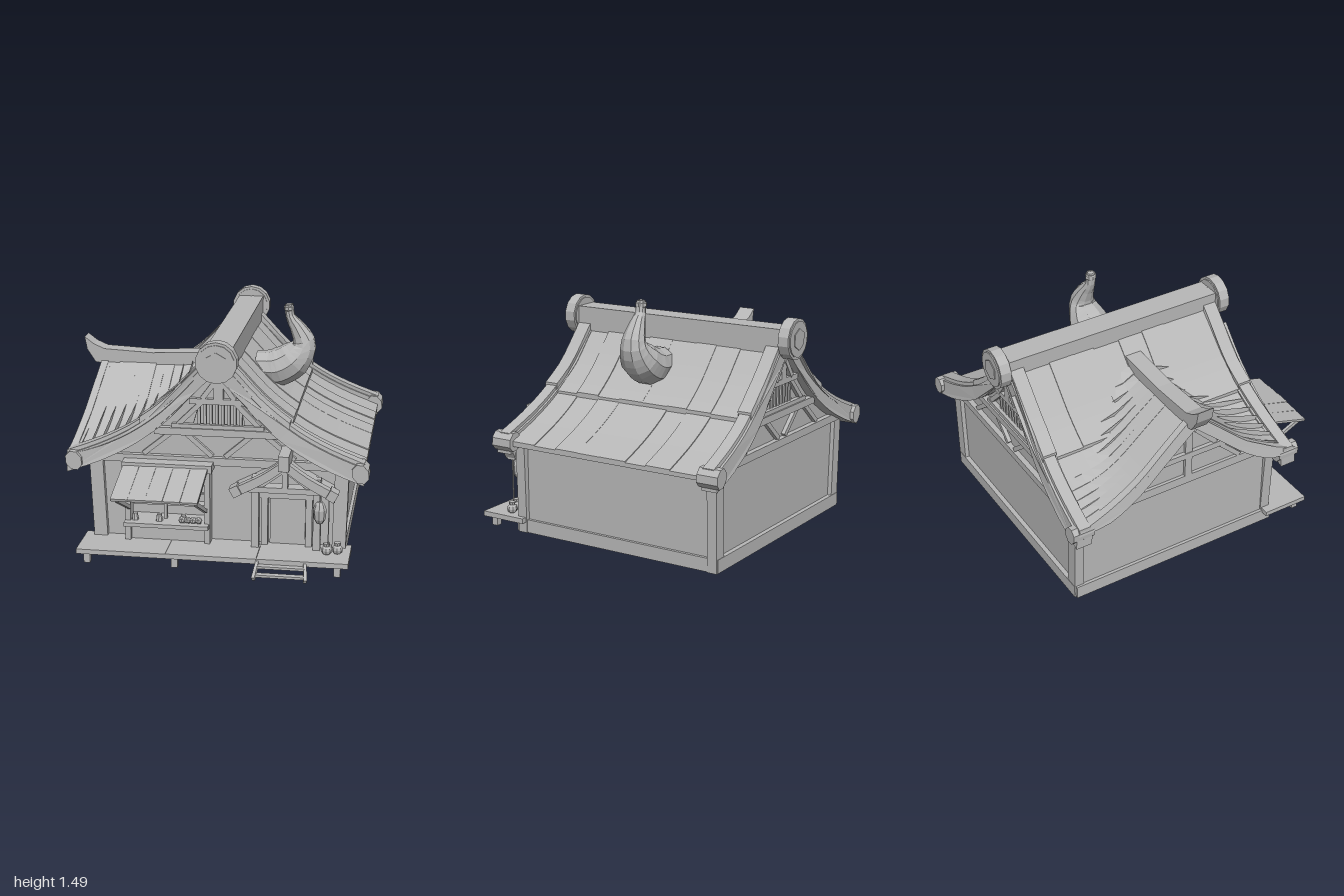
import * as THREE from 'three';

const V = (x, y, z) => new THREE.Vector3(x, y, z);

export function createModel() {
  const root = new THREE.Group();
  const grey = new THREE.MeshStandardMaterial({ color: 0xb8b8b8, flatShading: true, side: THREE.DoubleSide });
  grey.name = 'warm clay grey';

  let seed = 7;
  const rnd = () => ((seed = (seed * 16807) % 2147483647) / 2147483647) - 0.5;

  const add = (name, geo) => {
    const m = new THREE.Mesh(geo, grey);
    m.name = name;
    root.add(m);
    return m;
  };
  // box given by its limits
  const box = (name, x0, x1, y0, y1, z0, z1) => {
    const g = new THREE.BoxGeometry(x1 - x0, y1 - y0, z1 - z0);
    g.translate((x0 + x1) / 2, (y0 + y1) / 2, (z0 + z1) / 2);
    return add(name, g);
  };
  // rectangular beam between two points
  const beam = (name, a, b, w, d) => {
    const dir = b.clone().sub(a);
    const m = add(name, new THREE.BoxGeometry(w, dir.length(), d));
    m.position.copy(a).add(b).multiplyScalar(0.5);
    m.quaternion.setFromUnitVectors(V(0, 1, 0), dir.normalize());
    return m;
  };
  const shapeOf = pts => new THREE.Shape(pts.map(p => new THREE.Vector2(p[0], p[1])));
  const alongZ = (shape, z0, z1) =>
    new THREE.ExtrudeGeometry(shape, { depth: z1 - z0, bevelEnabled: false }).translate(0, 0, z0);
  // shape drawn in (-z, y), extruded along x
  const alongX = (shape, x0, x1) =>
    new THREE.ExtrudeGeometry(shape, { depth: x1 - x0, bevelEnabled: false }).rotateY(Math.PI / 2).translate(x0, 0, 0);

  // curved roof profiles
  const sample = (pts, n = 16) =>
    new THREE.SplineCurve(pts.map(p => new THREE.Vector2(p[0], p[1]))).getPoints(n).map(p => [p.x, p.y]);
  const mainRoof = sample([[0, 1.27], [0.12, 1.15], [0.3, 0.96], [0.5, 0.81], [0.7, 0.705], [0.92, 0.62]]);
  const sideRoof = sample([[0, 1.11], [0.25, 0.96], [0.5, 0.81], [0.75, 0.705], [1, 0.63]], 12);
  const band = (pts, up, down) =>
    shapeOf([...pts.map(p => [p[0], p[1] + up]), ...pts.slice().reverse().map(p => [p[0], p[1] - down])]);
  const mainHeight = x => {
    const d = Math.min(Math.abs(x), 0.919);
    const i = mainRoof.findIndex(p => p[0] > d);
    const [a, b] = [mainRoof[i - 1], mainRoof[i]];
    return a[1] + ((b[1] - a[1]) * (d - a[0])) / (b[0] - a[0]);
  };
  // barge boards lean inward as they rise
  const tuck = (g, d) => {
    const p = g.attributes.position;
    for (let i = 0; i < p.count; i++)
      p.setZ(i, p.getZ(i) - d * 0.045 * THREE.MathUtils.clamp((p.getY(i) - 0.6) / 0.4, 0, 1));
    g.computeVertexNormals();
    return g;
  };

  // main roof: tile layers, barge boards and corner caps; the right slope's lower layer is the cross gable's
  const seams = [-0.9, -0.84, -0.64, -0.47, -0.33, -0.15, 0.02, 0.18, 0.34, 0.56];
  for (const s of [1, -1]) {
    const curve = mainRoof.map(p => [p[0] * s, p[1]]);
    const upper = curve.filter(p => Math.abs(p[0]) < 0.5);
    for (let i = 0; i < seams.length - 1; i++) {
      if (s > 0) add('lowerRoofTile', alongZ(band(curve, rnd() * 0.016, 0.03), seams[i], seams[i + 1]));
      add('upperRoofTile', alongZ(band(upper, 0.026 + rnd() * 0.016, 0.02), seams[i], seams[i + 1]));
    }
    for (const [z0, z1, d] of [[0.52, 0.625, 1], [-0.96, -0.855, -1]]) {
      add('bargeBoard', tuck(alongZ(band(curve, 0.025, 0.085), z0, z1), d));
      add('bargeCap', tuck(alongZ(band(curve, 0.05, -0.01), z0 + 0.015, z1 - 0.015), d));
      add('upperBargeCap', tuck(alongZ(band(upper, 0.065, 0), z0 + 0.01, z1 - 0.005), d));
      const c = add('eaveCap', new THREE.CylinderGeometry(0.064, 0.064, 0.14, 8));
      c.scale.x = 0.82;
      c.rotation.set(Math.PI / 2, Math.PI / 8, 0);
      c.position.set(s * 0.885 + 0.013, 0.615, (z0 + z1) / 2);
    }
  }

  // ridge beam with stepped round end discs
  box('ridgeBeam', -0.06, 0.105, 1.18, 1.34, -0.93, 0.6);
  for (const [z, s] of [[0.615, 1], [-0.95, -1]]) {
    const disc = (name, r, len, sides) => {
      const m = add(name, new THREE.CylinderGeometry(r, r, len, sides));
      m.rotation.x = Math.PI / 2;
      m.position.set(0.022, 1.275, z + s * 0.003);
    };
    disc('ridgeDisc', 0.128, 0.07, 14);
    disc('ridgeDiscFace', 0.112, 0.085, 14);
    disc('ridgeDiscHex', 0.068, 0.096, 6);
  }

  // cross gable on the right side: outer edge leans in, valleys blend into the main slope
  const lean = (g, blend) => {
    const p = g.attributes.position;
    for (let i = 0; i < p.count; i++) {
      const y = p.getY(i), h = Math.max(0, (y - 0.62) / 0.5);
      const x = p.getX(i) * (1 - 0.1 * h), gap = mainHeight(x) - y;
      p.setX(i, x);
      p.setY(i, y + (gap + Math.hypot(gap, blend)) / 2);
    }
    g.computeVertexNormals();
    return g;
  };
  for (const span of [0.71, -0.85]) {
    const curve = sideRoof.map(p => [-(-0.09 + p[0] * span), p[1]]);
    let lift = 0;
    for (let i = 0; i < 12; i++) {
      const x0 = -0.92 + 0.066 * i;
      if (i % 2 === 0) lift = rnd() * 0.016;
      add('sideRoofTile', lean(alongX(band(curve, lift, 0.03), x0, x0 + 0.067), 0.05));
    }
    add('sideBargeBoard', lean(alongX(band(curve, 0.012, 0.08), -0.925, -0.875), 0.03));
  }
  const ridge = shapeOf([[-0.95, 1.23], [-0.89, 1.185], [-0.82, 1.155], [-0.5, 1.14], [-0.1, 1.16],
    [-0.1, 1.06], [-0.8, 1.055], [-0.88, 1.065], [-0.935, 1.15]]);
  add('sideRidge', alongZ(ridge, -0.145, -0.035));

  // curved horn chimney, a little wider than deep
  const hornPath = new THREE.CatmullRomCurve3([V(0.17, 1.06, -0.1), V(0.3, 1.06, -0.1), V(0.41, 1.12, -0.1),
    V(0.475, 1.22, -0.1), V(0.43, 1.33, -0.095), V(0.385, 1.4, -0.09), V(0.375, 1.48, -0.09)]);
  const hornR = [0.1, 0.125, 0.118, 0.078, 0.05, 0.031, 0.028];
  const rings = 18, sides = 10;
  const horn = new THREE.TubeGeometry(hornPath, rings, 1, sides, false);
  const hp = horn.attributes.position;
  for (let i = 0; i <= rings; i++) {
    const c = hornPath.getPointAt(i / rings);
    const t = hornPath.getUtoTmapping(i / rings) * 6;
    const k = Math.min(5, Math.floor(t));
    const r = THREE.MathUtils.lerp(hornR[k], hornR[k + 1], t - k);
    for (let j = 0; j <= sides; j++) {
      const q = i * (sides + 1) + j;
      const v = V(hp.getX(q), hp.getY(q), hp.getZ(q)).sub(c).multiply(V(r, r, r * 1.08)).add(c);
      hp.setXYZ(q, v.x, v.y, v.z);
    }
  }
  horn.computeVertexNormals();
  add('hornChimney', horn);
  const tip = add('hornTip', new THREE.SphereGeometry(0.033, 8, 5));
  tip.position.set(0.375, 1.455, -0.09);
  tip.scale.z = 1.2;

  // front and back walls with a lattice opening under the ridge
  const gable = mainRoof.filter(p => p[0] < 0.76).map(p => [p[0], p[1] - 0.05]);
  const outline = [[-0.76, 0], [0.79, 0], [0.79, 0.6], ...gable.slice().reverse(),
    ...gable.slice(1).map(p => [-p[0], p[1]]), [-0.76, 0.6]];
  const hole = pts => new THREE.Path(pts.map(p => new THREE.Vector2(p[0], p[1])));
  for (const front of [true, false]) {
    const wall = shapeOf(outline);
    wall.holes.push(hole([[-0.14, 0.85], [0.18, 0.85], [0.15, 0.99], [-0.1, 0.99]]));
    if (front) wall.holes.push(hole([[-0.53, 0.23], [-0.05, 0.23], [-0.05, 0.55], [-0.53, 0.55]]));
    const z = front ? 0.5 : -0.87, f = z + (front ? 0.02 : 0);
    add(front ? 'frontWall' : 'backWall', alongZ(wall, z, z + 0.02));
    for (let i = 0; i < 8; i++) {
      const x = -0.11 + i * 0.037;
      box('latticeBar', x, x + 0.016, 0.84, 1.0, f - 0.01, f + 0.015);
    }
    const d = front ? 1 : -1;
    const rail = (x0, x1, y0, y1, out) =>
      box('gableBeam', x0, x1, y0, y1, Math.min(f, f + d * out), Math.max(f, f + d * out));
    rail(-0.78, 0.8, 0.595, 0.645, 0.035);
    rail(-0.38, 0.4, 0.785, 0.83, 0.04);
    rail(-0.27, 0.3, 0.83, 0.855, 0.03);
    rail(-0.16, 0.18, 0.985, 1.02, 0.03);
    rail(-0.01, 0.05, 1.01, 1.2, 0.03);
    for (const s of [-1, 1]) {
      beam('gableBrace', V(0.02 + s * 0.04, 0.65, f + d * 0.01), V(0.02 + s * 0.2, 0.79, f + d * 0.01), 0.03, 0.03);
      beam('gableBrace', V(0.02 + s * 0.3, 0.79, f + d * 0.01), V(0.02 + s * 0.47, 0.65, f + d * 0.01), 0.03, 0.03);
      beam('gableStrut', V(0.02 + s * 0.25, 0.85, f + d * 0.01), V(0.02 + s * 0.1, 1.0, f + d * 0.01), 0.03, 0.03);
      beam('peakBrace', V(0.02 + s * 0.1, 1.02, f + d * 0.02), V(0.02 + s * 0.02, 1.13, f + d * 0.02), 0.03, 0.03);
    }
  }

  // side walls, floor, corner posts and sills
  box('leftWall', 0.765, 0.785, 0, 0.66, -0.86, 0.51);
  const sideOutline = [[0.86, 0], [-0.51, 0], [-0.51, 0.62]];
  for (let i = 10; i >= 0; i--) sideOutline.push([0.09 - sideRoof[i][0] * 0.71, sideRoof[i][1] - 0.03]);
  for (let i = 1; i <= 10; i++) sideOutline.push([0.09 + sideRoof[i][0] * 0.85, sideRoof[i][1] - 0.03]);
  sideOutline.push([0.86, 0.62]);
  add('rightWall', alongX(shapeOf(sideOutline), -0.765, -0.745));
  box('floor', -0.76, 0.8, 0, 0.04, -0.89, 0.57);
  for (const [x, t] of [[-0.725, -0.75], [0.768, 0.783]])
    for (const z of [0.525, -0.865]) beam('cornerPost', V(x, 0, z), V(t, 0.64, z), 0.085, 0.065);
  for (const [x0, x1] of [[-0.785, -0.74], [0.765, 0.805]]) {
    box('sideSill', x0, x1, 0, 0.085, -0.89, 0.56);
    box('sideTopBeam', x0, x1, 0.575, 0.635, -0.89, 0.56);
  }
  box('backSill', -0.77, 0.8, 0, 0.085, -0.9, -0.86);
  box('frontSill', -0.77, 0.8, 0, 0.085, 0.5, 0.575);
  box('sideGableBeam', -0.79, -0.75, 0.77, 0.81, -0.44, 0.2);
  box('sideKingPost', -0.785, -0.75, 0.62, 1.04, -0.115, -0.065);
  for (const s of [-1, 1]) {
    beam('sideGableBrace', V(-0.77, 0.64, -0.09 + s * 0.38), V(-0.77, 0.77, -0.09 + s * 0.24), 0.03, 0.03);
    beam('sideGableBrace', V(-0.77, 0.81, -0.09 + s * 0.2), V(-0.77, 0.96, -0.09 + s * 0.05), 0.03, 0.03);
  }

  // porch deck on short feet, with sloping steps
  for (let i = 0; i < 3; i++) {
    const x = -0.83 + i * 0.56;
    box('deckPlank', x, x + 0.558, 0.068, 0.098 + rnd() * 0.006, 0.5, 0.81);
    box('deckFoot', [-0.79, -0.24, 0.76][i], [-0.75, -0.2, 0.8][i], 0, 0.07, 0.74, 0.78);
  }
  for (const x of [0.3, 0.585]) beam('stepRail', V(x, 0.085, 0.79), V(x + (x - 0.44) * 0.1, 0.012, 0.91), 0.02, 0.025);
  box('step', 0.3, 0.59, 0.055, 0.07, 0.81, 0.85);
  box('step', 0.295, 0.595, 0.02, 0.035, 0.86, 0.9);

  // shop window: frame, counter, shallow shelves and goods
  box('windowBack', -0.55, -0.03, 0.2, 0.58, 0.45, 0.46);
  for (const x of [-0.56, -0.06]) box('windowPost', x, x + 0.035, 0.1, 0.6, 0.52, 0.61);
  box('windowMullion', -0.325, -0.305, 0.23, 0.55, 0.52, 0.55);
  box('windowHead', -0.57, -0.01, 0.57, 0.62, 0.52, 0.64);
  box('counter', -0.56, -0.03, 0.205, 0.23, 0.46, 0.66);
  box('counterPanel', -0.53, -0.06, 0.1, 0.205, 0.52, 0.58);
  for (const y of [0.31, 0.39]) box('shelf', -0.52, -0.06, y, y + 0.012, 0.46, 0.53);
  for (let i = 0; i < 9; i++) {
    const row = i % 3;
    add('jar', new THREE.CylinderGeometry(0.016, 0.022, 0.045, 7))
      .position.set(-0.5 + i * 0.051, [0.252, 0.345, 0.424][row], row ? 0.495 : 0.59);
  }
  for (let i = 0; i < 4; i++)
    add('bun', new THREE.IcosahedronGeometry(0.024, 0)).position.set(-0.2 + i * 0.035, 0.25, 0.61);

  // awning of loose planks on struts
  for (let i = 0; i < 5; i++) {
    const x = -0.51 + i * 0.106, e = rnd() * 0.02;
    beam('awningPlank', V(x, 0.6, 0.61), V(x - 0.005, 0.5 + e / 2, 0.985 + e), 0.105, 0.016);
  }
  box('awningBar', -0.55, -0.04, 0.485, 0.505, 0.93, 0.955);
  for (const x of [-0.53, -0.05]) {
    beam('awningStrut', V(x, 0.49, 0.96), V(x, 0.32, 0.62), 0.02, 0.025);
    beam('awningRafter', V(x, 0.575, 0.62), V(x, 0.49, 0.96), 0.02, 0.02);
  }

  // door with frame and porch posts
  box('door', 0.34, 0.56, 0.1, 0.4, 0.52, 0.535);
  for (const x of [0.29, 0.565]) box('doorJamb', x, x + 0.04, 0.09, 0.46, 0.52, 0.57);
  box('doorLintel', 0.28, 0.615, 0.41, 0.46, 0.52, 0.575);
  for (const x of [0.235, 0.615]) box('porchPost', x, x + 0.045, 0.09, 0.56, 0.56, 0.62);
  box('porchBeam', 0.2, 0.7, 0.47, 0.505, 0.56, 0.65);

  // small gabled porch roof
  for (const s of [-1, 1]) {
    const eave = sample([[0.44, 0.68], [0.44 + s * 0.14, 0.58], [0.44 + s * 0.31, 0.49]], 6);
    add('porchRoof', alongZ(band(eave, 0, 0.025), 0.51, 0.65));
    add('porchBarge', alongZ(band(eave, 0.012, 0.05), 0.63, 0.685));
    const cap = box('porchEaveCap', -0.028, 0.028, -0.032, 0.032, 0.62, 0.7);
    cap.position.set(0.44 + s * 0.295, 0.485, 0);
    cap.rotation.z = -s * 0.5;
    beam('porchBrace', V(0.44 + s * 0.16, 0.5, 0.63), V(0.44, 0.62, 0.63), 0.025, 0.03);
  }
  box('porchRidge', 0.41, 0.475, 0.64, 0.735, 0.51, 0.735);
  box('porchKingPost', 0.425, 0.46, 0.5, 0.65, 0.61, 0.65);

  // hanging lantern, cord and pots
  const lantern = new THREE.LatheGeometry([[0, -0.07], [0.02, -0.068], [0.036, -0.04], [0.042, 0.02],
    [0.03, 0.055], [0.018, 0.07], [0, 0.072]].map(p => new THREE.Vector2(p[0], p[1])), 8);
  add('lantern', lantern).position.set(0.66, 0.37, 0.67);
  beam('lanternCord', V(0.66, 0.43, 0.67), V(0.66, 0.5, 0.67), 0.008, 0.008);
  beam('hangingCord', V(0.715, 0.15, 0.67), V(0.715, 0.48, 0.67), 0.007, 0.007);
  for (const [x, z] of [[0.705, 0.66], [0.77, 0.64]]) {
    add('pot', new THREE.SphereGeometry(0.033, 8, 6)).position.set(x, 0.125, z);
    add('potNeck', new THREE.CylinderGeometry(0.022, 0.018, 0.02, 8)).position.set(x, 0.16, z);
  }
  return root;
}
